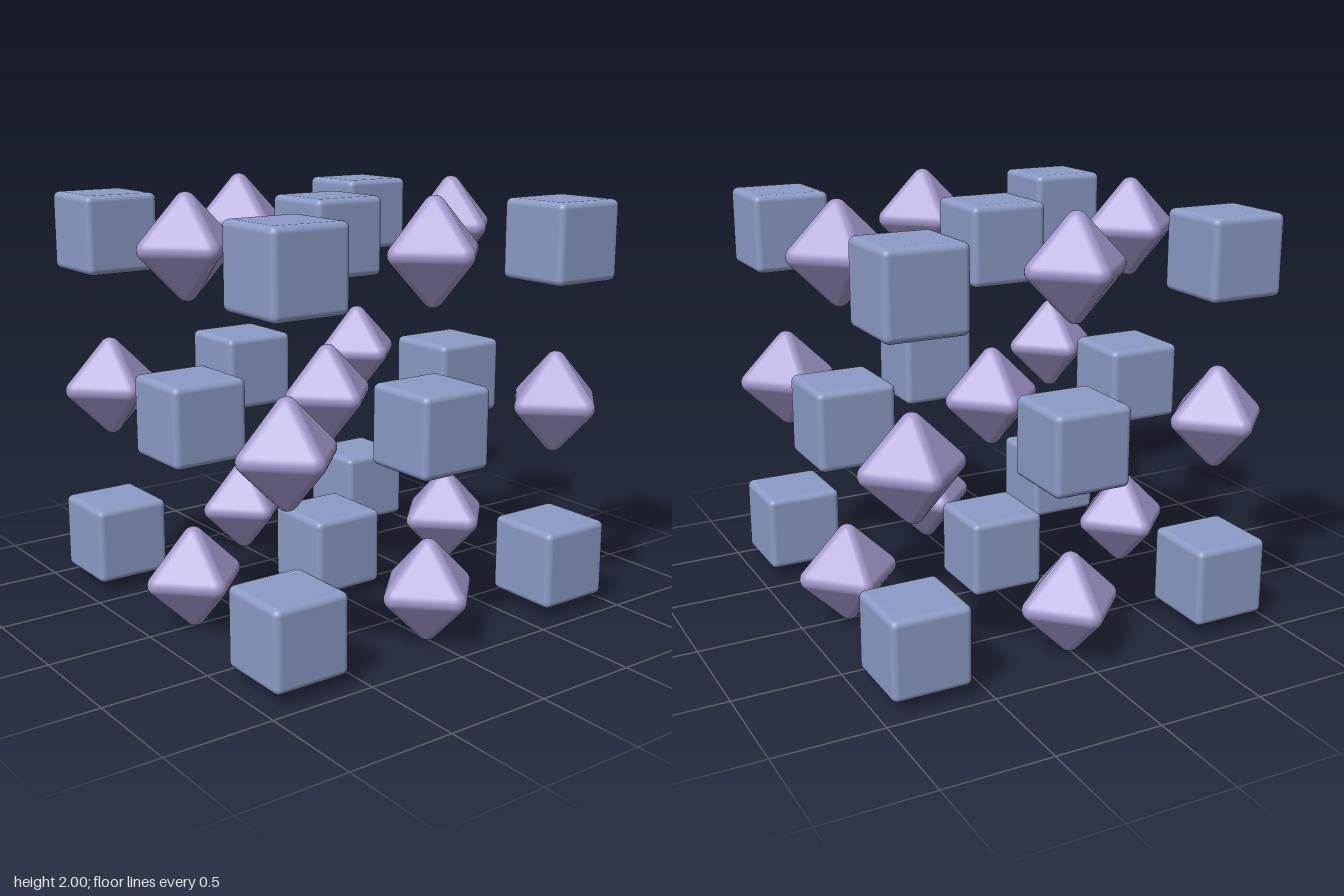
import * as THREE from 'three';
import { RoundedBoxGeometry } from 'three/addons/geometries/RoundedBoxGeometry.js';
import { ConvexGeometry } from 'three/addons/geometries/ConvexGeometry.js';

const SPACING = 0.76;
const CUBE_SIZE = 0.37;
const TIP = 0.24;        // centre to tip of an octahedron
const ROUNDING = 0.05;   // radius of its tips and edges

// Unit vector along the largest component of v
function dominantAxis(v) {
  const a = v.toArray();
  let k = 0;
  for (let i = 1; i < 3; i++) if (Math.abs(a[i]) > Math.abs(a[k])) k = i;
  return new THREE.Vector3().setComponent(k, Math.sign(a[k]));
}

// Hull of six spherical caps, one per tip, with exact smooth normals
function roundedOctahedron() {
  const core = TIP - ROUNDING;
  const steps = 6;
  const points = [];
  for (let axis = 0; axis < 3; axis++) {
    for (const sign of [-1, 1]) {
      const centre = new THREE.Vector3().setComponent(axis, sign * core);
      for (let i = 0; i <= steps; i++) {
        for (let j = 0; j <= steps; j++) {
          const dir = new THREE.Vector3();
          dir.setComponent(axis, sign);
          dir.setComponent((axis + 1) % 3, Math.tan((i / steps - 0.5) * Math.PI / 2));
          dir.setComponent((axis + 2) % 3, Math.tan((j / steps - 0.5) * Math.PI / 2));
          points.push(dir.setLength(ROUNDING).add(centre));
        }
      }
    }
  }
  const geometry = new ConvexGeometry(points);
  const pos = geometry.attributes.position;
  const p = new THREE.Vector3();
  for (let i = 0; i < pos.count; i++) {
    p.fromBufferAttribute(pos, i);
    p.addScaledVector(dominantAxis(p), -core).normalize();
    geometry.attributes.normal.setXYZ(i, p.x, p.y, p.z);
  }
  return geometry;
}

export function createModel() {
  const model = new THREE.Group();
  model.name = 'lattice';

  const cubeGeometry = new RoundedBoxGeometry(CUBE_SIZE, CUBE_SIZE, CUBE_SIZE, 3, 0.03);
  const octahedronGeometry = roundedOctahedron();
  const blue = new THREE.MeshStandardMaterial({ color: 0x8c9cc6 });
  const violet = new THREE.MeshStandardMaterial({ color: 0xa398cc });

  // Cubes and octahedra alternate on a 3 x 3 x 3 grid, cubes at the corners
  for (let x = -1; x <= 1; x++) {
    for (let y = -1; y <= 1; y++) {
      for (let z = -1; z <= 1; z++) {
        const isCube = (x + y + z) % 2 !== 0;
        const mesh = isCube
          ? new THREE.Mesh(cubeGeometry, blue)
          : new THREE.Mesh(octahedronGeometry, violet);
        mesh.name = isCube ? 'cube' : 'octahedron';
        mesh.position.set(x * SPACING, 1 + y * SPACING, z * SPACING);
        model.add(mesh);
      }
    }
  }
  return model;
}
